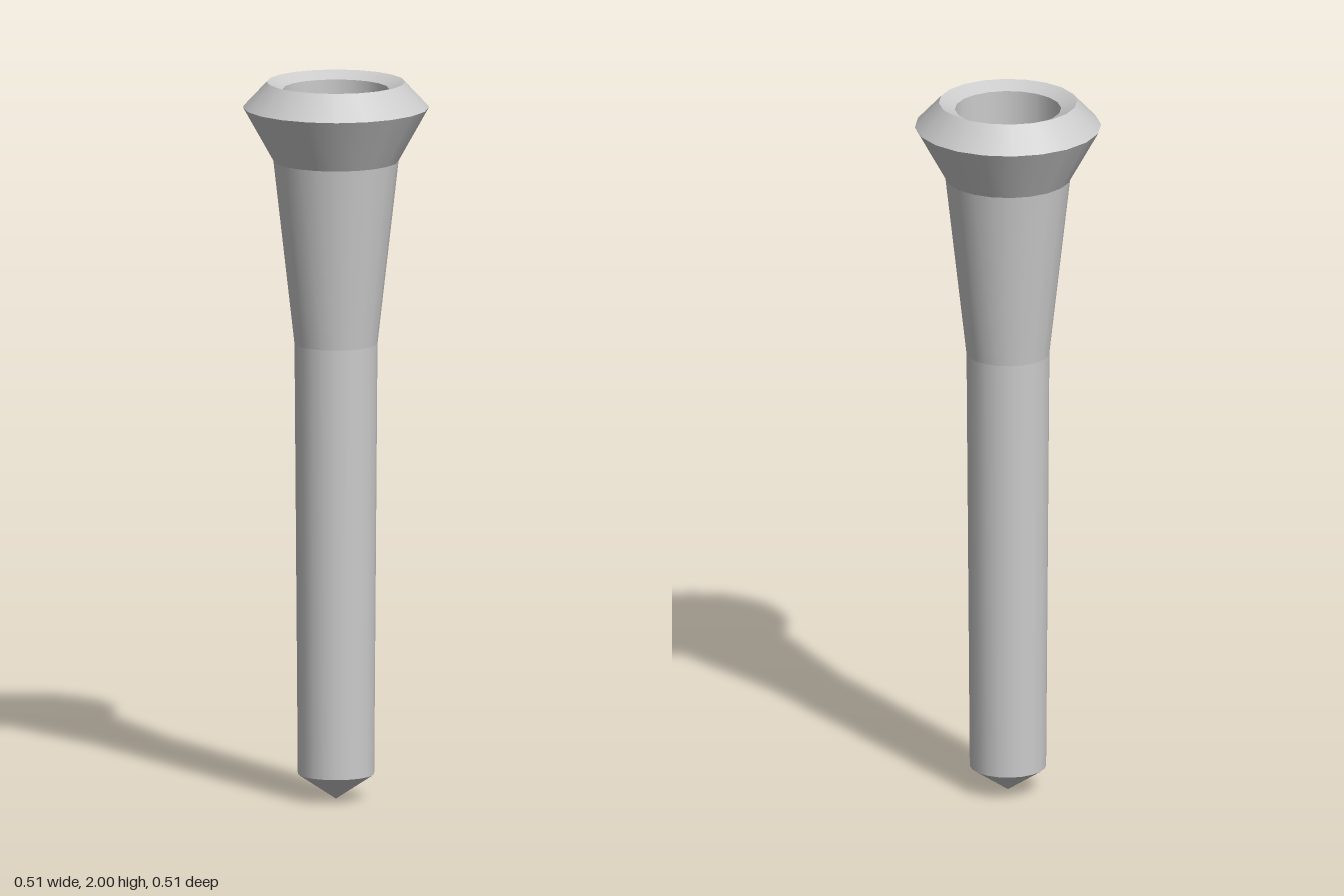
import * as THREE from 'three';

const SIDES = 20;

export function createModel() {
  const model = new THREE.Group();
  model.name = 'flaredPeg';
  const material = new THREE.MeshStandardMaterial({ color: 0xcccccc });

  // Each band is its own lathe: smooth around, sharp where bands meet.
  const band = (name, ...profile) => {
    const points = profile.map(([r, y]) => new THREE.Vector2(r, y));
    const mesh = new THREE.Mesh(new THREE.LatheGeometry(points, SIDES), material);
    mesh.name = name;
    model.add(mesh);
  };

  // Outside, from the pointed foot up to the rim
  band('tip', [0, 0], [0.105, 0.07]);
  band('shaft', [0.105, 0.07], [0.114, 1.27]);
  band('neck', [0.114, 1.27], [0.172, 1.78]);
  band('collar', [0.172, 1.78], [0.256, 1.93]);
  band('rimBevel', [0.256, 1.93], [0.19, 2]);

  // Inside, from the rim down into the shallow cup
  band('cupBevel', [0.19, 2], [0.146, 1.98]);
  band('cupWall', [0.146, 1.98], [0.146, 1.865]);
  band('cupFloor', [0.146, 1.865], [0, 1.865]);

  return model;
}
